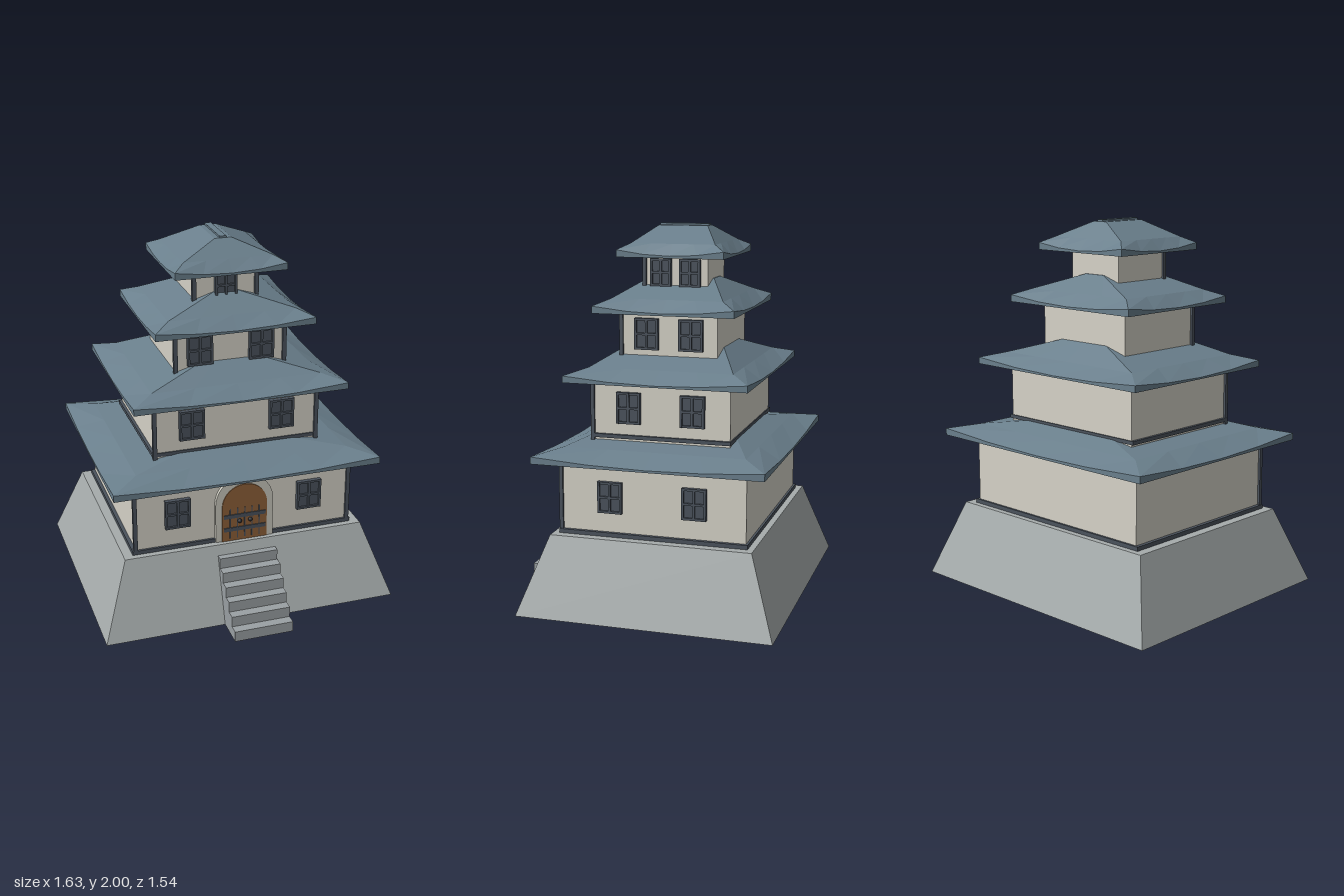
import * as THREE from 'three';

const mat = (name, color, extra = {}) => {
  const m = new THREE.MeshStandardMaterial({ color, ...extra });
  m.name = name;
  return m;
};

export function createModel() {
  const root = new THREE.Group();
  root.name = 'tieredCastle';
  const stone = mat('stone', 0xa6acac);
  const stepStone = mat('stepStone', 0x9ba1a4);
  const plaster = mat('plaster', 0xd6d3c8);
  const archStone = mat('archStone', 0xcbc9be);
  const tile = mat('roofTile', 0x6a7f8c);
  const timber = mat('darkTimber', 0x4b535d);
  const wood = mat('doorWood', 0x8f6038);
  const iron = mat('iron', 0x2c3036);
  const CZ = -0.085; // centre of the tower in z

  const add = (name, geo, m, x = 0, y = 0, z = 0, parent = root) => {
    const mesh = new THREE.Mesh(geo, m);
    mesh.name = name;
    mesh.position.set(x, y, z);
    parent.add(mesh);
    return mesh;
  };
  // box from its extents
  const box = (name, m, x0, x1, y0, y1, z0, z1, parent = root) =>
    add(name, new THREE.BoxGeometry(x1 - x0, y1 - y0, z1 - z0), m,
      (x0 + x1) / 2, (y0 + y1) / 2, (z0 + z1) / 2, parent);

  // rectangular ring, counter-clockwise from above, sagging by dip at mid-side
  const ring = (hx, hz, y, dip = 0, n = 4) => {
    const c = [[hx, hz], [hx, -hz], [-hx, -hz], [-hx, hz]];
    const pts = [];
    for (let s = 0; s < 4; s++) {
      const a = c[s], b = c[(s + 1) % 4];
      for (let i = 0; i < n; i++) {
        const t = i / n;
        pts.push([a[0] + (b[0] - a[0]) * t, y - dip * 4 * t * (1 - t), a[1] + (b[1] - a[1]) * t]);
      }
    }
    return pts;
  };
  // flat-faced skin over stacked rings, capped at both ends
  const loft = (rings) => {
    const v = [], n = rings[0].length, last = rings[rings.length - 1];
    for (let r = 0; r + 1 < rings.length; r++) {
      for (let i = 0; i < n; i++) {
        const j = (i + 1) % n;
        const [a, b, c, d] = [rings[r][i], rings[r][j], rings[r + 1][j], rings[r + 1][i]];
        v.push(...a, ...b, ...c, ...a, ...c, ...d);
      }
    }
    for (let i = 0; i < n; i++) {
      const j = (i + 1) % n;
      v.push(0, rings[0][0][1], 0, ...rings[0][j], ...rings[0][i]);
      v.push(0, last[0][1], 0, ...last[i], ...last[j]);
    }
    const g = new THREE.BufferGeometry();
    g.setAttribute('position', new THREE.Float32BufferAttribute(v, 3));
    g.computeVertexNormals();
    return g;
  };

  // sloped stone base
  add('stoneBase', loft([ring(0.817, 0.685, 0, 0, 1), ring(0.67, 0.54, 0.412, 0, 1)]), stone, 0, 0, CZ);

  // front steps
  for (let i = 0; i < 6; i++) {
    box('step', stepStone, -0.163, 0.163, i * 0.0595, (i + 1) * 0.0595, 0.45, 0.77 - i * 0.052);
  }

  // four-pane window facing +z, back resting on z = 0
  const window4 = (w, h) => {
    const g = new THREE.Group();
    g.name = 'window';
    box('pane', timber, -w / 2, w / 2, -h / 2, h / 2, -0.005, 0.012, g);
    for (const s of [-1, 0, 1]) {
      const x = s * (w / 2 - 0.006), y = s * (h / 2 - 0.006);
      box('upright', timber, x - 0.006, x + 0.006, -h / 2, h / 2, 0.01, 0.024, g);
      box('rail', timber, -w / 2, w / 2, y - 0.006, y + 0.006, 0.01, 0.023, g);
    }
    return g;
  };

  // storeys: half sizes, wall heights, window positions, roof heights
  const tiers = [
    { hx: 0.6, hz: 0.495, y0: 0.41, y1: 0.802, front: [-0.37, 0.37], side: [0.142, -0.31], wy: 0.622, h: 0.166,
      roof: [0.735, 0.615, 0.802, 0.84, 0.87, 0.94] },
    { hx: 0.45, hz: 0.37, y0: 0.83, y1: 1.207, front: [-0.25, 0.25], side: [0.088, -0.257], wy: 1.067, h: 0.166,
      roof: [0.587, 0.49, 1.207, 1.243, 1.275, 1.385] },
    { hx: 0.3, hz: 0.26, y0: 1.23, y1: 1.552, front: [-0.17, 0.17], side: [0.036, -0.205], wy: 1.438, h: 0.166,
      roof: [0.437, 0.38, 1.552, 1.59, 1.625, 1.715] },
    { hx: 0.17, hz: 0.172, y0: 1.58, y1: 1.835, front: [0], side: [-0.003, -0.162], wy: 1.75, h: 0.145,
      roof: [0.305, 0.29, 1.835, 1.873, 1.905, 1.99] },
  ];
  tiers.forEach((t, i) => {
    const g = new THREE.Group();
    g.name = 'storey' + (i + 1);
    root.add(g);
    const zf = CZ + t.hz;
    box('walls', plaster, -t.hx, t.hx, t.y0, t.y1, CZ - t.hz, zf, g);
    // front corner posts
    for (const s of [-1, 1]) {
      const x = s * (t.hx + 0.002);
      box('cornerPost', timber, x - 0.011, x + 0.011, t.y0, t.y1, zf - 0.008, zf + 0.012, g);
    }
    // windows on the front and on the +x side
    const w = i === 3 ? 0.12 : 0.138;
    for (const x of t.front) {
      const win = window4(w, t.h);
      win.position.set(x, t.wy, zf);
      g.add(win);
    }
    for (const z of t.side) {
      const win = window4(i === 3 ? 0.115 : 0.13, t.h);
      win.position.set(t.hx, t.wy, z);
      win.rotation.y = Math.PI / 2;
      g.add(win);
    }
    // hipped roof with sagging eaves
    const [ex, ez, yb, ye, ym, yt] = t.roof;
    add('roof', loft([
      ring(ex, ez, yb), ring(ex, ez, ye, 0.027),
      ring(ex * 0.797, ez * 0.79, ym), ring(ex * 0.15, ez * 0.465, yt),
    ]), tile, 0, 0, CZ, g);
  });

  // sill bands around the two lower storeys
  box('lowerBand', timber, -0.62, 0.62, 0.411, 0.434, CZ - 0.507, CZ + 0.507);
  box('upperBand', timber, -0.466, 0.466, 0.903, 0.923, CZ - 0.376, CZ + 0.376);
  // roof ridge
  box('ridge', tile, -0.018, 0.018, 1.98, 2.0, CZ - 0.135, CZ + 0.135);

  // arched doorway
  const archShape = (r, y0, ys) => {
    const s = new THREE.Shape();
    s.moveTo(-r, y0);
    s.lineTo(r, y0);
    s.lineTo(r, ys);
    s.absarc(0, ys, r, 0, Math.PI, false);
    s.closePath();
    return s;
  };
  const extrude = (shape, depth) =>
    new THREE.ExtrudeGeometry(shape, { depth, bevelEnabled: false, curveSegments: 20 });
  const door = new THREE.Group();
  door.name = 'doorway';
  root.add(door);
  add('archSurround', extrude(archShape(0.162, 0.413, 0.635), 0.03), archStone, 0, 0, 0.4, door);
  add('door', extrude(archShape(0.126, 0.414, 0.62), 0.035), wood, 0, 0, 0.4, door);
  for (const y of [0.562, 0.484]) box('doorBand', timber, -0.118, 0.118, y - 0.011, y + 0.011, 0.43, 0.44, door);
  for (let i = -2; i <= 2; i++) {
    box('doorBar', timber, i * 0.041 - 0.003, i * 0.041 + 0.003, 0.43, 0.61, 0.43, 0.438, door);
  }
  for (const s of [-1, 1]) add('doorKnob', new THREE.SphereGeometry(0.012, 12, 8), iron, s * 0.03, 0.532, 0.441, door);

  return root;
}
